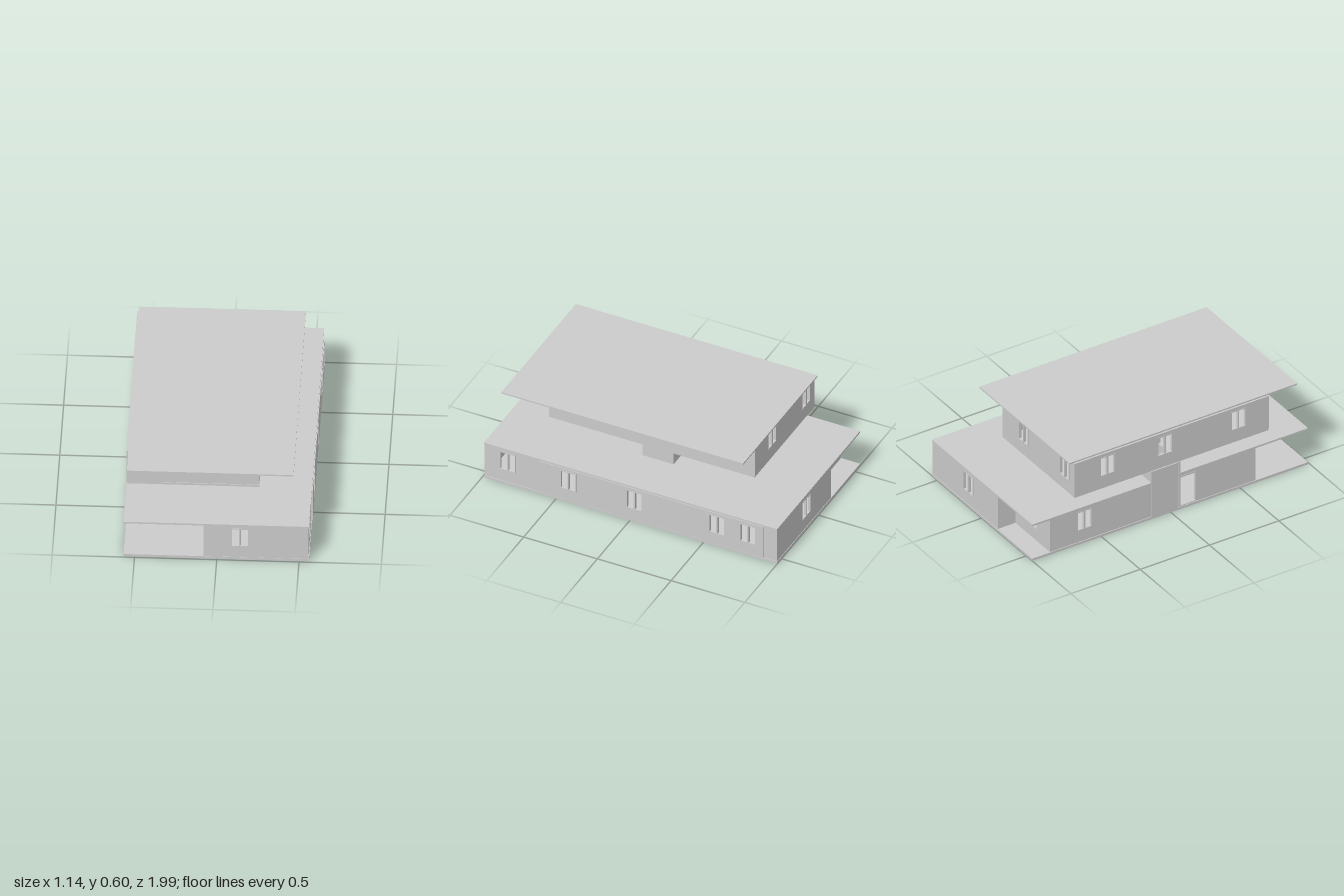
import * as THREE from 'three';

const material = new THREE.MeshStandardMaterial({ color: 0xcccccc, flatShading: true });
const T = 0.015; // wall thickness

function rectPath(P, x0, y0, x1, y1) {
  const p = new P();
  p.moveTo(x0, y0); p.lineTo(x1, y0); p.lineTo(x1, y1); p.lineTo(x0, y1); p.closePath();
  return p;
}

// Rectangle [x0, y0, x1, y1] with rectangular holes, extruded along z
function plate(name, r, holes, depth) {
  const shape = rectPath(THREE.Shape, ...r);
  holes.forEach(h => shape.holes.push(rectPath(THREE.Path, ...h)));
  const mesh = new THREE.Mesh(new THREE.ExtrudeGeometry(shape, { depth, bevelEnabled: false }), material);
  mesh.name = name;
  return mesh;
}

function box(name, x0, x1, y0, y1, z0, z1) {
  const mesh = new THREE.Mesh(new THREE.BoxGeometry(x1 - x0, y1 - y0, z1 - z0), material);
  mesh.position.set((x0 + x1) / 2, (y0 + y1) / 2, (z0 + z1) / 2);
  mesh.name = name;
  return mesh;
}

// Horizontal slab with holes given as [x0, z0, x1, z1]
function slab(name, r, y0, y1, holes = []) {
  const flip = ([x0, z0, x1, z1]) => [x0, -z1, x1, -z0];
  const mesh = plate(name, flip(r), holes.map(flip), y1 - y0);
  mesh.rotation.x = -Math.PI / 2;
  mesh.position.y = y0;
  return mesh;
}

// Two-pane window frame centred on u, standing on y
function windowFrame(u, y, w, h) {
  const f = 0.006, m = 0.005, x0 = u - w / 2, x1 = u + w / 2;
  const frame = plate('windowFrame', [x0, y, x1, y + h], [
    [x0 + f, y + f, u - m, y + h - f],
    [u + m, y + f, x1 - f, y + h - f]], T + 0.002);
  frame.position.z = -T;
  return frame;
}

// Wall from a to b ([x, z], outer face on the right-hand side of the walk),
// windows as centre coordinates along the wall's own axis
function wall(name, a, b, y0, y1, windows = [], door = null) {
  const dx = b[0] - a[0], dz = b[1] - a[1], len = Math.hypot(dx, dz);
  const along = c => Math.abs(c - (Math.abs(dx) > Math.abs(dz) ? a[0] : a[1]));
  const sill = y0 > 0.3 ? 0.432 : 0.096, w = 0.11, h = 0.136;
  const g = new THREE.Group();
  g.name = name;
  const holes = windows.map(c => [along(c) - w / 2, sill, along(c) + w / 2, sill + h]);
  if (door) {
    const [d0, d1] = door.map(along);
    holes.push([d0, y0 + 0.004, d1, 0.235]);
    const frame = plate('doorFrame', [d0, y0 + 0.004, d1, 0.235],
      [[d0 + 0.01, y0 + 0.008, d1 - 0.01, 0.225]], T + 0.003);
    frame.position.z = -T;
    g.add(frame);
  }
  const panel = plate('wallPanel', [0, y0, len, y1], holes, T);
  panel.position.z = -T;
  g.add(panel);
  windows.forEach(c => g.add(windowFrame(along(c), sill, w, h)));
  g.position.set(a[0], 0, a[1]);
  g.rotation.y = Math.atan2(-dz, dx);
  return g;
}

export function createModel() {
  const house = new THREE.Group();
  house.name = 'house';
  const stairwell = [-0.545, -0.125, 0.23, 0.055];

  // Slabs
  house.add(
    slab('baseSlab', [-0.567, -1, 0.56, 0.99], 0, 0.016),
    slab('lowerRoof', [-0.567, -1, 0.56, 0.99], 0.25, 0.262, [stairwell]),
    slab('upperFloor', [-0.56, -0.69, 0.245, 0.71], 0.343, 0.357, [stairwell]),
    slab('upperRoof', [-0.55, -0.72, 0.462, 0.92], 0.59, 0.6));

  // Ground floor, walked around the outline with porches in two corners
  const lo = 0.016, hi = 0.25;
  house.add(
    wall('frontWall', [-0.08, 0.988], [0.556, 0.988], lo, hi, [0.14]),
    wall('rightWallFront', [0.556, 0.988], [0.556, 0.6], lo, hi, [0.83]),
    wall('rightWallMain', [0.566, 0.61], [0.566, -0.91], 0.022, hi, [0.415, -0.035, -0.595, -0.805]),
    wall('rightWallBack', [0.556, -0.9], [0.556, -0.997], lo, hi),
    wall('backWall', [0.556, -0.997], [-0.175, -0.997], lo, hi, [0.155]),
    wall('backPorchSide', [-0.175, -0.997], [-0.175, -0.87], lo, hi),
    wall('backPorchWall', [-0.16, -0.87], [-0.562, -0.87], lo, hi, [-0.365]),
    wall('leftWall', [-0.562, -0.87], [-0.562, 0.615], lo, hi, [-0.62], [0.055, 0.19]),
    wall('frontPorchWall', [-0.562, 0.615], [-0.065, 0.615], lo, hi),
    wall('frontPorchSide', [-0.08, 0.6], [-0.08, 0.988], lo, hi));

  // Stair core joining the floors
  house.add(
    wall('coreFront', [-0.564, 0.07], [0.245, 0.07], lo, 0.343),
    wall('coreBack', [0.245, -0.14], [-0.564, -0.14], lo, 0.343),
    wall('coreLeft', [-0.568, -0.14], [-0.568, 0.05], lo, 0.343),
    wall('coreRight', [0.245, 0.07], [0.245, -0.14], 0.262, 0.343));
  for (let i = 0; i < 12; i++) {
    const x = 0.2 - i * 0.045, y = 0.016 + (i + 1) * 0.0275;
    house.add(box('stairStep', x - 0.045, x, y - 0.0275, y, -0.12, -0.03));
  }

  // Upper floor
  const ulo = 0.357, uhi = 0.59;
  house.add(
    wall('upperFrontLeft', [-0.562, 0.712], [-0.34, 0.712], ulo, uhi, [-0.45]),
    wall('upperFrontRight', [-0.345, 0.706], [0.246, 0.706], ulo, uhi, [-0.022]),
    wall('upperRightWall', [0.246, 0.706], [0.246, -0.692], ulo, uhi, [0.495, -0.455]),
    wall('upperBackWall', [0.246, -0.692], [-0.562, -0.692], ulo, uhi, [0.01, -0.45]),
    wall('upperLeftWall', [-0.562, -0.692], [-0.562, 0.712], ulo, uhi, [-0.455, -0.04, 0.49]));

  // Inner partitions
  house.add(
    box('upperPartitionFront', -0.34, 0.23, ulo, uhi, 0.055, 0.07),
    box('upperPartitionBack', -0.34, 0.23, ulo, uhi, -0.14, -0.125),
    box('lowerPartitionFront', -0.08, 0.55, lo, hi, 0.6, 0.615),
    box('lowerPartitionBack', -0.175, -0.16, lo, hi, -0.88, -0.14));
  return house;
}
